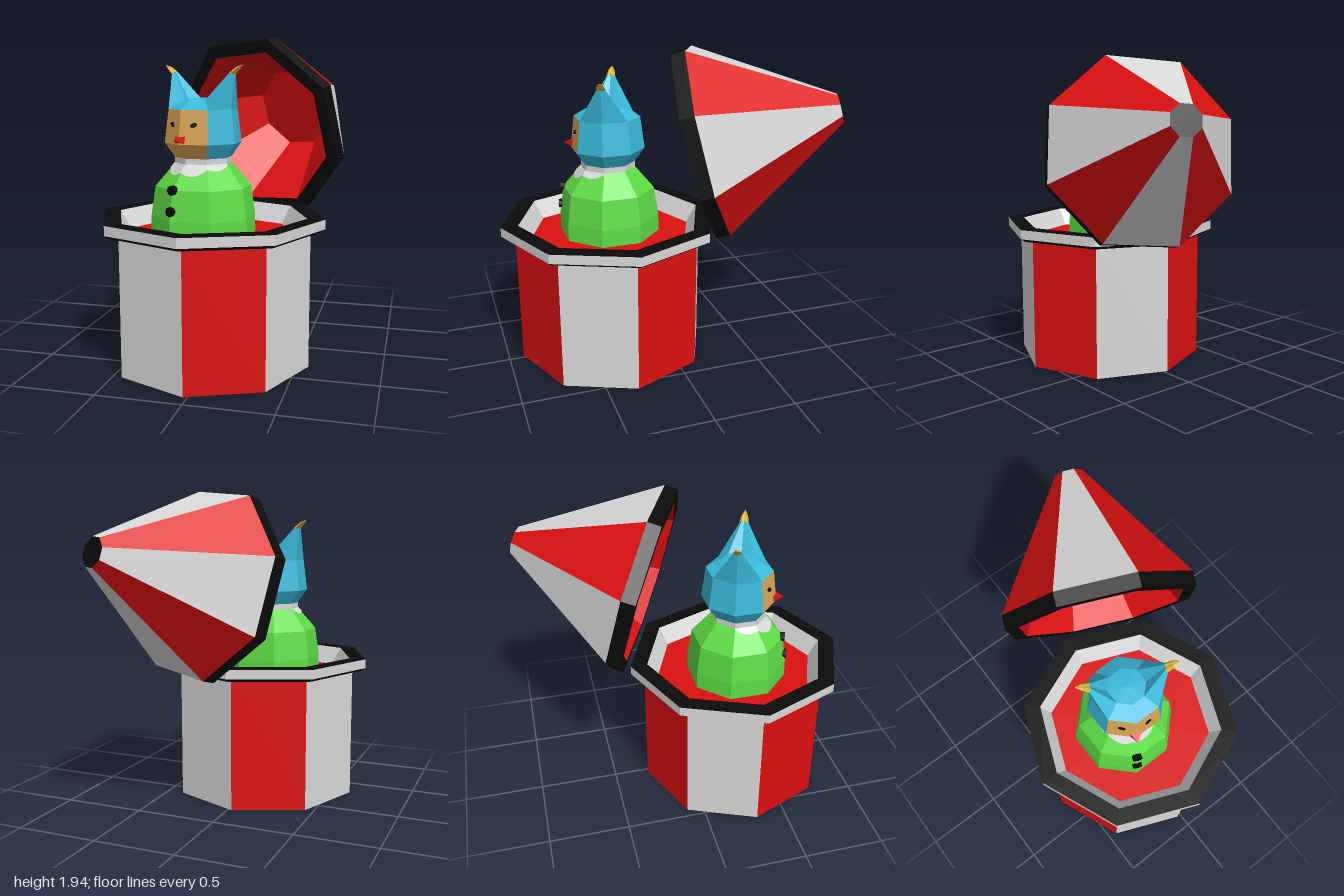
import * as THREE from 'three';
import { mergeGeometries } from 'three/addons/utils/BufferGeometryUtils.js';

const STEP = Math.PI / 4; // every turned part is eight-sided

const colours = {
  red: 0xdb1010, white: 0xd8d8d8, black: 0x0b0b0b, green: 0x5edc45,
  blue: 0x3abadb, orange: 0xdaa552, yellow: 0xd8b434,
};
const mats = {};
for (const [name, hex] of Object.entries(colours)) {
  mats[name] = new THREE.MeshStandardMaterial({ color: hex });
  mats[name].name = name;
}

// Faceted normals
function facet(geo) {
  const g = geo.index ? geo.toNonIndexed() : geo;
  g.computeVertexNormals();
  return g;
}

// Eight-sided turned shell limited to the listed sides (side 0 starts at +z, running to +x)
function turned(points, sides = [0, 1, 2, 3, 4, 5, 6, 7]) {
  const profile = points.map(([r, y]) => new THREE.Vector2(r, y));
  return mergeGeometries(sides.map((i) =>
    facet(new THREE.LatheGeometry(profile, 1, i * STEP, STEP))));
}

// Skin through equal-length rings of points
function loft(rings) {
  const pos = [];
  for (let k = 0; k + 1 < rings.length; k++) {
    const a = rings[k], b = rings[k + 1], n = a.length;
    for (let i = 0; i < n; i++) {
      const j = (i + 1) % n;
      for (const p of [a[i], a[j], b[j], a[i], b[j], b[i]]) pos.push(p.x, p.y, p.z);
    }
  }
  const g = new THREE.BufferGeometry();
  g.setAttribute('position', new THREE.Float32BufferAttribute(pos, 3));
  return facet(g);
}

function add(parent, name, geo, mat) {
  const mesh = new THREE.Mesh(geo, mats[mat]);
  mesh.name = name;
  parent.add(mesh);
  return mesh;
}

function addStripes(parent, name, points) {
  add(parent, name + 'RedStripes', turned(points, [0, 2, 4, 6]), 'red');
  add(parent, name + 'WhiteStripes', turned(points, [1, 3, 5, 7]), 'white');
}

// Striped tub with a rim and a sunken floor
function makeBox() {
  const box = new THREE.Group();
  box.name = 'box';
  box.position.set(-0.025, 0, 0.315);
  add(box, 'boxBottom', turned([[0, 0], [0.595, 0]]), 'black');
  addStripes(box, 'box', [[0.595, 0], [0.595, 0.818]]);
  add(box, 'rimUnderside', turned([[0.595, 0.818], [0.65, 0.818], [0.68, 0.838]]), 'black');
  add(box, 'rimSide', turned([[0.68, 0.838], [0.68, 0.895]]), 'white');
  add(box, 'rimTop', turned([[0.68, 0.895], [0.575, 0.895]]), 'black');
  add(box, 'innerWall', turned([[0.575, 0.895], [0.51, 0.785]]), 'white');
  add(box, 'boxFloor', turned([[0.51, 0.785], [0, 0.785]]), 'red');
  return box;
}

// Striped conical lid, tipped back; its own y axis runs from the mouth to the tip
function makeLid() {
  const lid = new THREE.Group();
  lid.name = 'lid';
  const mouth = new THREE.Vector3(0.14, 1.37, -0.195);
  const yAxis = new THREE.Vector3(0.48, 1.595, -0.96).sub(mouth).normalize();
  const xAxis = yAxis.clone().cross(new THREE.Vector3(0.105, 0.55, 0.211)).normalize();
  const zAxis = xAxis.clone().cross(yAxis);
  lid.quaternion.setFromRotationMatrix(new THREE.Matrix4().makeBasis(xAxis, yAxis, zAxis));
  lid.position.copy(mouth);
  add(lid, 'lidInside', turned([[0, 0.46], [0.27, 0.46], [0.52, 0]]), 'red');
  add(lid, 'lidRim', turned([[0.52, 0], [0.6, 0], [0.6, 0.085]]), 'black');
  addStripes(lid, 'lid', [[0.6, 0.085], [0.09, 0.867]]);
  add(lid, 'lidTip', turned([[0.09, 0.867], [0, 0.867]]), 'black');
  return lid;
}

// Scalloped bib lying on the sloping shoulders
function bibGeometry() {
  const pos = [], N = 48;
  const at = (a, drop) => {
    const side = ((a % STEP) + STEP) % STEP;
    const r = (0.172 + drop * 0.867) * Math.cos(STEP / 2) / Math.cos(side - STEP / 2);
    return [r * Math.sin(a), 1.208 - drop, r * Math.cos(a)];
  };
  const drop = (a) => 0.008 + 0.038 * Math.cos(a) ** 2 + 0.022 * Math.abs(Math.sin(a * 4));
  for (let i = 0; i < N; i++) {
    const a = (i / N - 0.5) * STEP * 4, b = a + (STEP * 4) / N;
    const [p, q, r, s] = [at(a, drop(a)), at(b, drop(b)), at(b, 0), at(a, 0)];
    pos.push(...p, ...q, ...r, ...p, ...r, ...s);
  }
  const g = new THREE.BufferGeometry();
  g.setAttribute('position', new THREE.Float32BufferAttribute(pos, 3));
  return facet(g);
}

// Hat horn with a curled yellow tip, growing from the side of the hat
function addHorn(parent, name) {
  const horn = new THREE.Group();
  horn.name = name;
  parent.add(horn);
  const corner = (r, y, k) =>
    new THREE.Vector3(r * Math.sin(k * STEP), y, r * Math.cos(k * STEP));
  const base = [1, 2, 3].map((k) => corner(0.203, 1.52, k))
    .concat([3, 2, 1].map((k) => corner(0.11, 1.575, k)));
  const centre = new THREE.Vector3(0.125, 1.55, 0);
  const section = (x, y, s) =>
    base.map((p) => p.clone().sub(centre).multiplyScalar(s).add(new THREE.Vector3(x, y, 0)));
  add(horn, name + 'Cone', loft([base, section(0.212, 1.725, 0.19)]), 'blue');
  add(horn, name + 'Tip',
    loft([section(0.212, 1.725, 0.2), section(0.25, 1.755, 0.14), section(0.285, 1.772, 0.01)]),
    'yellow');
  return horn;
}

// Figure popping out of the box, modelled facing +z and then turned
function makeFigure() {
  const figure = new THREE.Group();
  figure.name = 'figure';
  figure.position.set(-0.073, 0, 0.308);
  figure.rotation.y = -STEP / 2;

  add(figure, 'body', turned([[0.313, 0.785], [0.311, 0.895], [0.285, 1.07], [0.168, 1.205]]), 'green');
  add(figure, 'collar', turned([[0.168, 1.205], [0.168, 1.24]]), 'white');
  add(figure, 'bib', bibGeometry(), 'white');

  // Head: two orange sides in front, the hat round the rest
  const head = [[0.168, 1.24], [0.228, 1.325], [0.203, 1.52]];
  add(figure, 'face', turned(head, [7, 0]), 'orange');
  add(figure, 'hatSides', turned(head, [1, 2, 3, 4, 5, 6]), 'blue');
  add(figure, 'hatTop', turned([[0.203, 1.52], [0.11, 1.575], [0, 1.585]]), 'blue');
  addHorn(figure, 'leftHorn');
  addHorn(figure, 'rightHorn').rotation.y = Math.PI;

  // Eyes on the two face sides
  for (const s of [1, -1]) {
    const disc = new THREE.CylinderGeometry(0.017, 0.017, 0.008, 10).rotateX(Math.PI / 2);
    disc.scale(1.25, 0.75, 1).rotateZ(s * 0.4);
    const eye = add(figure, s > 0 ? 'leftEye' : 'rightEye', facet(disc), 'black');
    const a = s * STEP / 2;
    eye.position.set(0.2 * Math.sin(a), 1.435, 0.2 * Math.cos(a));
    eye.rotation.set(-0.11, a, 0, 'YXZ');
  }

  // Pointed nose
  const noseGeo = new THREE.ConeGeometry(0.036, 0.06, 4).rotateY(STEP).rotateX(Math.PI / 2);
  add(figure, 'nose', facet(noseGeo.scale(1.3, 0.85, 1)), 'red').position.set(0, 1.35, 0.24);

  // Buttons down the front edge
  for (const [y, z] of [[0.95, 0.3], [1.07, 0.283]]) {
    const g = new THREE.CylinderGeometry(0.029, 0.029, 0.03, 8).rotateX(Math.PI / 2);
    add(figure, 'button', facet(g), 'black').position.set(0, y, z);
  }
  return figure;
}

export function createModel() {
  const model = new THREE.Group();
  model.name = 'surpriseBox';
  model.add(makeBox(), makeLid(), makeFigure());
  return model;
}
